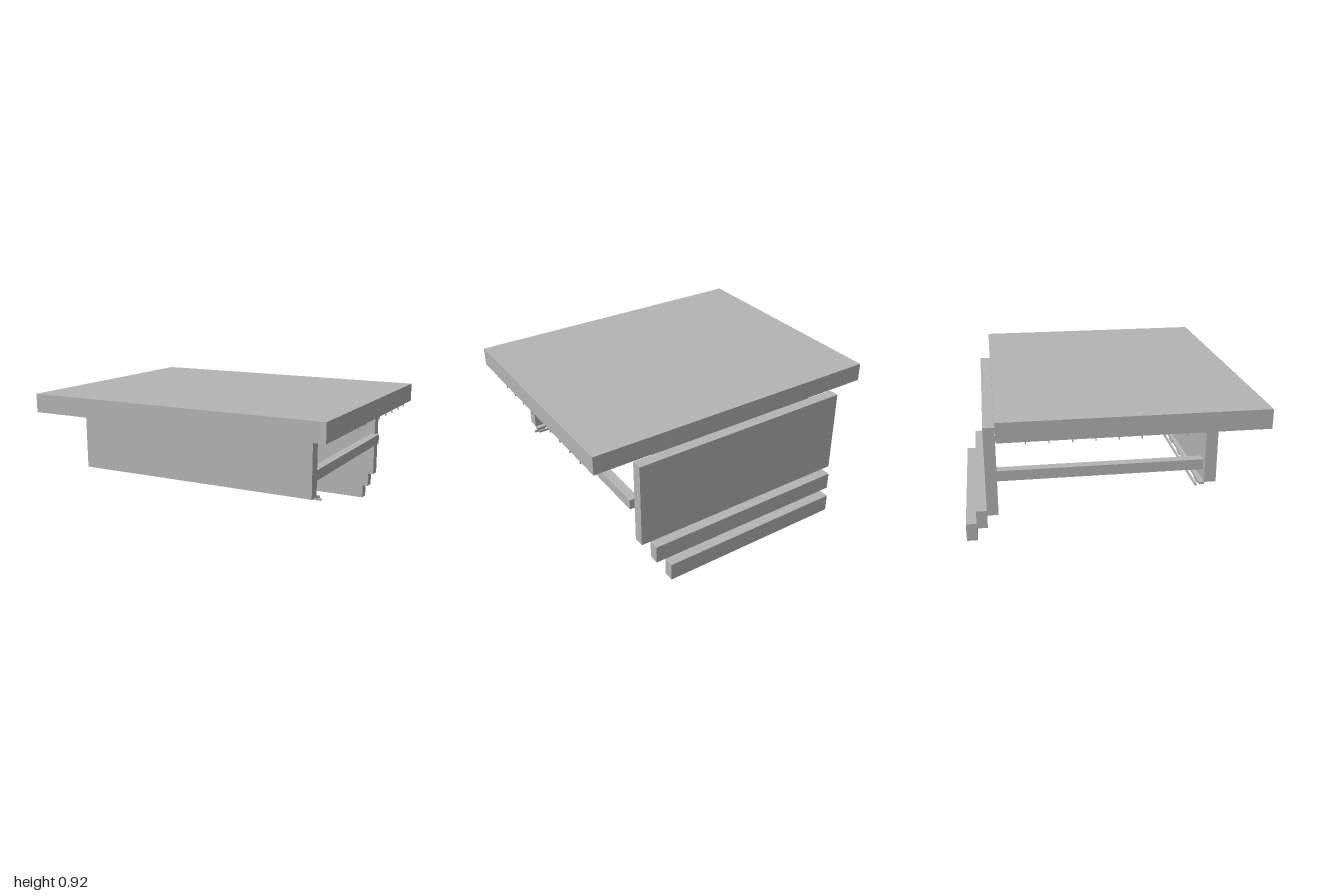
import * as THREE from 'three';

export function createModel() {
  const model = new THREE.Group();
  const grey = new THREE.MeshStandardMaterial({ color: 0xb4b4b4 });
  grey.name = 'plain grey';

  // Box given by its limits on each axis
  function block(name, [x0, x1], [y0, y1], [z0, z1]) {
    const mesh = new THREE.Mesh(new THREE.BoxGeometry(x1 - x0, y1 - y0, z1 - z0), grey);
    mesh.position.set((x0 + x1) / 2, (y0 + y1) / 2, (z0 + z1) / 2);
    mesh.name = name;
    model.add(mesh);
  }

  // Main slab and front panel
  block('topSlab', [-1, 1], [0.8, 0.92], [-0.69, 0.895]);
  block('frontPanel', [-0.817, 0.817], [0.4, 0.8], [0.562, 0.635]);

  // Back panel stepping down and outward
  block('backPanel', [-0.748, 0.748], [0.232, 0.797], [-0.76, -0.69]);
  block('backStepUpper', [-0.687, 0.687], [0.116, 0.232], [-0.827, -0.76]);
  block('backStepLower', [-0.625, 0.625], [0, 0.116], [-0.895, -0.827]);

  // Equipment body below the slab
  block('underBody', [-0.56, 0.56], [0.705, 0.8], [-0.69, 0.49]);

  for (const s of [-1, 1]) {
    const span = (a, b) => (s > 0 ? [a, b] : [-b, -a]);
    // Long side rails joining front and back panels
    block('sideRail', span(0.72, 0.78), [0.47, 0.535], [-0.69, 0.562]);
    // Flat plates on the underside
    block('underPlate', span(0.06, 0.5), [0.687, 0.705], [-0.66, 0.415]);
    // Small tabs along the slab edges
    for (let i = -4; i <= 4; i++) {
      const z = i * 0.1315;
      block('edgeTab', span(0.992, 1), [0.784, 0.8], [z - 0.003, z + 0.003]);
    }
  }

  // Fittings hanging under the body
  block('centreRod', [-0.012, 0.012], [0.659, 0.667], [-0.295, 0.27]);
  block('sideBox', [0.56, 0.71], [0.635, 0.692], [-0.185, -0.015]);
  block('latchBox', [0.37, 0.45], [0.626, 0.69], [-0.2, -0.07]);
  block('latchTab', [0.39, 0.43], [0.616, 0.626], [-0.142, -0.095]);

  // Strip and clips along the lower inside edge of the front panel
  block('lowerStrip', [-0.817, 0.817], [0.386, 0.402], [0.532, 0.562]);
  block('innerStrip', [-0.817, 0.817], [0.378, 0.392], [0.505, 0.516]);
  for (let i = 0; i < 8; i++) {
    const x = -0.72 + i * 0.217;
    block('stripClip', [x - 0.038, x + 0.038], [0.371, 0.386], [0.533, 0.541]);
  }

  return model;
}
